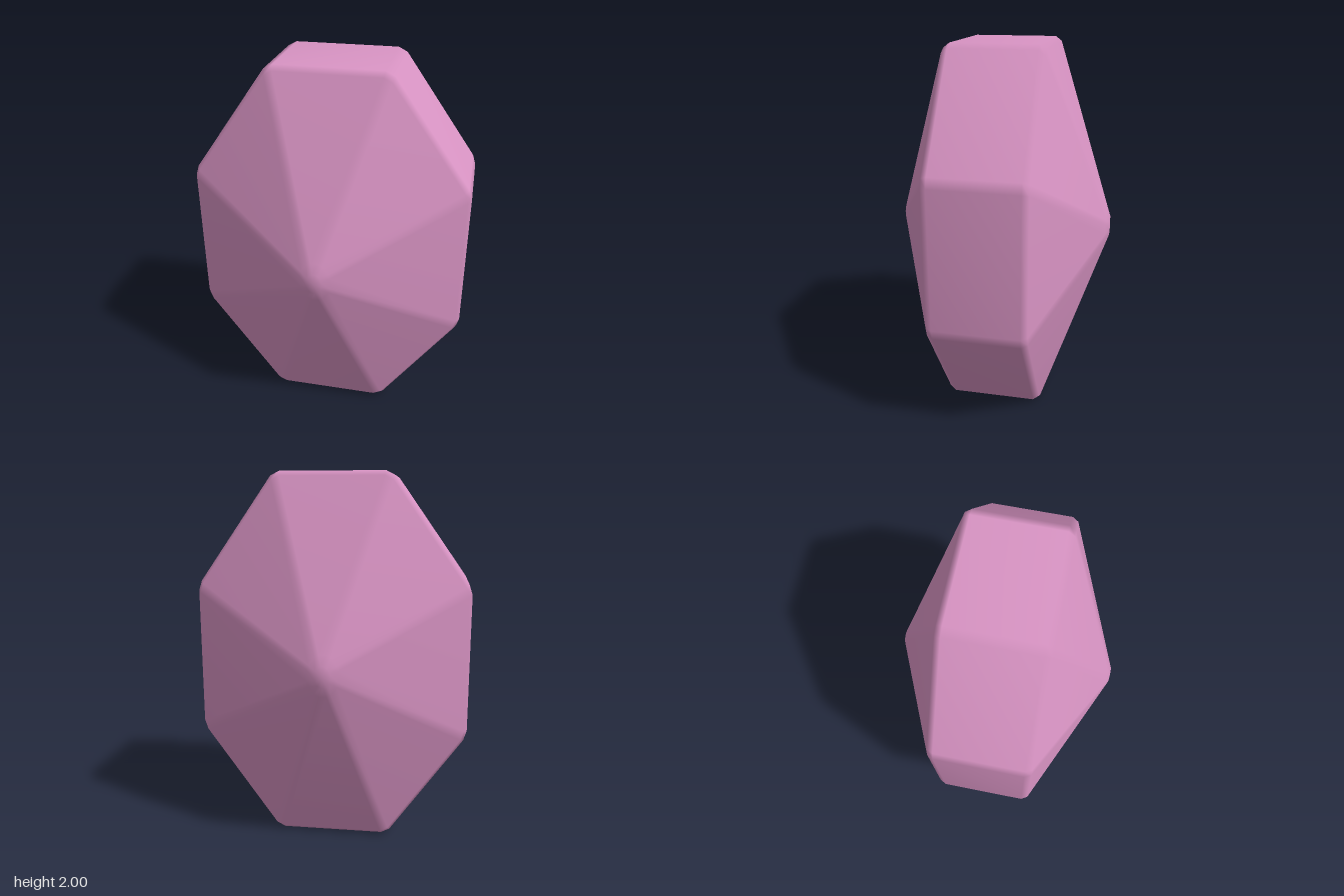
import * as THREE from 'three';

// Elongated octagon, counter-clockwise seen from +z
const CORNERS = [
  [0.735, -0.4], [0.735, 0.4], [0.308, 1], [-0.308, 1],
  [-0.735, 0.4], [-0.735, -0.4], [-0.308, -1], [0.308, -1],
].map(([x, y]) => new THREE.Vector2(x, y));

// Scaled octagon with every corner cut back by `cut` along both edges
function outline(scale, cut) {
  const pts = CORNERS.map((c) => c.clone().multiplyScalar(scale));
  return pts.flatMap((p, i) => [pts[(i + 7) % 8], pts[(i + 1) % 8]].map((q) =>
    p.clone().add(q.clone().sub(p).setLength(cut))));
}

export function createModel() {
  // Cross-sections from front tip to girdle: z, scale, corner cut
  const half = [
    [0.594, 0.055, 0.010],
    [0.575, 0.108, 0.014],
    [0.262, 0.975, 0.028],
    [0.228, 1.0, 0.030],
  ];
  const sections = [...half.map(([z, s, c]) => [-z, s, c]), ...[...half].reverse()];

  const positions = [];
  const index = [];
  for (const [z, scale, cut] of sections) {
    for (const p of outline(scale, cut)) positions.push(p.x, p.y, z);
  }

  // Skin between neighbouring sections
  const n = 16;
  for (let r = 0; r < sections.length - 1; r++) {
    for (let j = 0; j < n; j++) {
      const a = r * n + j, b = r * n + (j + 1) % n;
      index.push(a, b, b + n, a, b + n, a + n);
    }
  }

  // Blunt tips at the back and front
  const back = positions.length / 3, front = back + 1;
  positions.push(0, 0, -0.597, 0, 0, 0.597);
  const last = (sections.length - 1) * n;
  for (let j = 0; j < n; j++) {
    const k = (j + 1) % n;
    index.push(back, k, j, front, last + j, last + k);
  }

  const geometry = new THREE.BufferGeometry();
  geometry.setAttribute('position', new THREE.Float32BufferAttribute(positions, 3));
  geometry.setIndex(index);
  // Area-weighted normals keep the big facets flat and soften the narrow bevels
  geometry.computeVertexNormals();

  const gem = new THREE.Mesh(geometry, new THREE.MeshStandardMaterial({ color: 0xd994c4 }));
  gem.name = 'gem';
  gem.position.y = 1;

  const group = new THREE.Group();
  group.name = 'facetedGem';
  group.add(gem);
  return group;
}
